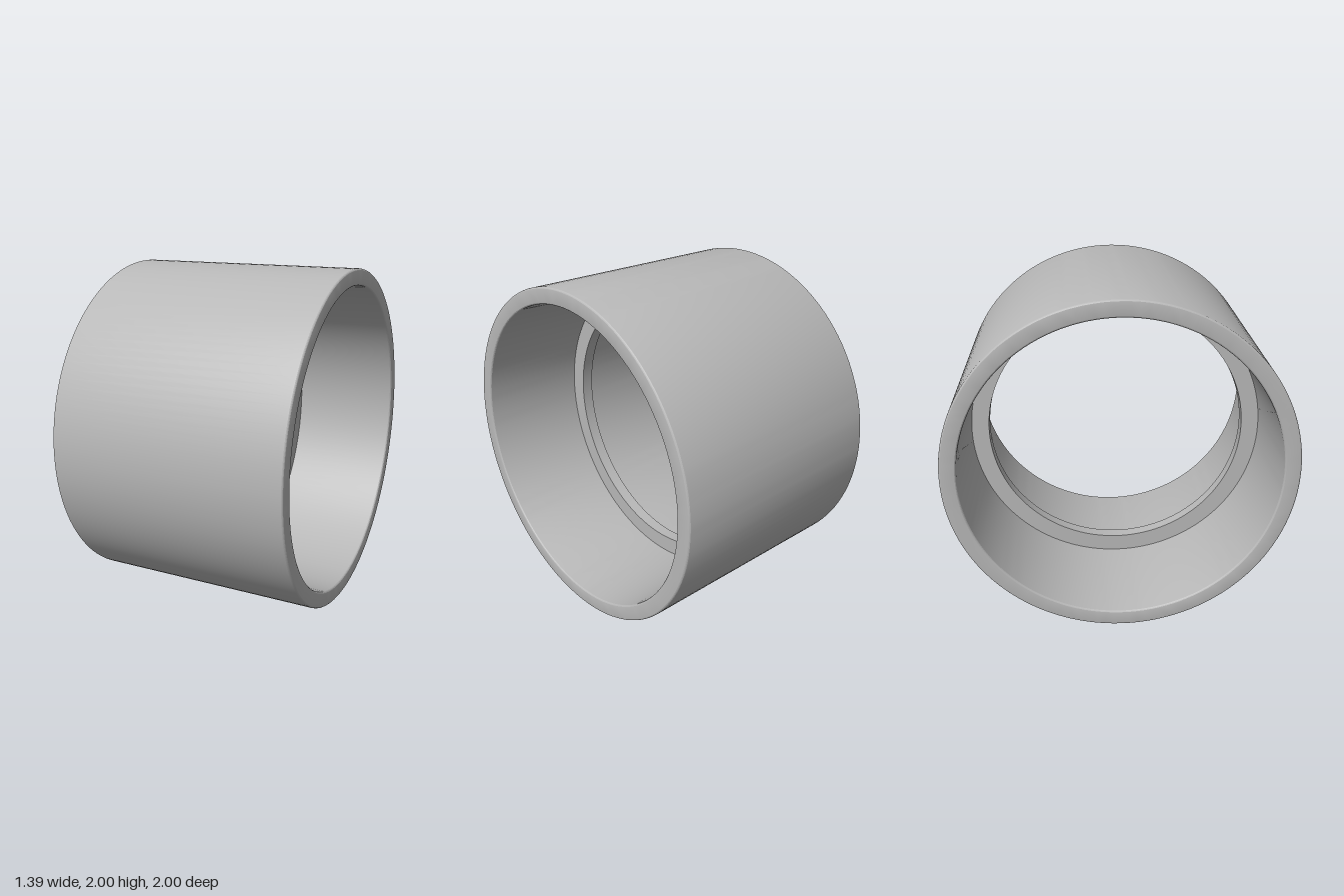
import * as THREE from 'three';
import { toCreasedNormals } from 'three/addons/utils/BufferGeometryUtils.js';

const HALF = 0.695;     // half length along x
const OUTER = 1;        // outside radius
const MOUTH = 0.904;    // socket radius at the open end
const ROOT = 0.896;     // socket radius at the stop ring (slight taper)
const STOP = 0.79;      // stop ring bore radius
const STOP_HALF = 0.037;
const FILLET = 0.014;

// Quarter-round points about (r, a), from angle start to end
function arc(r, a, radius, start, end, steps = 4) {
  return Array.from({ length: steps + 1 }, (_, i) => {
    const t = start + ((end - start) * i) / steps;
    return [r + radius * Math.cos(t), a + radius * Math.sin(t)];
  });
}

// Revolve a [radius, axial] profile around the x axis
function revolve(name, profile, material) {
  const points = profile.map(([r, a]) => new THREE.Vector2(r, a));
  const lathe = new THREE.LatheGeometry(points, 128);
  lathe.rotateZ(-Math.PI / 2);
  const mesh = new THREE.Mesh(toCreasedNormals(lathe, Math.PI / 10), material);
  mesh.name = name;
  return mesh;
}

export function createModel() {
  const grey = new THREE.MeshStandardMaterial({ color: 0xb8b8b8 });
  grey.name = 'plain grey';

  // One end of the sleeve: outer edge, end face, mouth edge, tapered socket
  const end = [
    ...arc(OUTER - FILLET, HALF - FILLET, FILLET, 0, Math.PI / 2),
    ...arc(MOUTH + FILLET, HALF - FILLET, FILLET, Math.PI / 2, Math.PI),
    [ROOT, STOP_HALF],
  ];
  const mirrored = end.map(([r, a]) => [r, -a]).reverse();

  const model = new THREE.Group();
  model.name = 'pipeCoupling';

  // Outer sleeve with a socket at both ends
  model.add(revolve('sleeve', [...mirrored, ...end], grey));

  // Raised ring in the middle that stops the pipes
  model.add(revolve('stopRing', [
    [ROOT, STOP_HALF],
    [STOP, STOP_HALF],
    [STOP, -STOP_HALF],
    [ROOT, -STOP_HALF],
  ], grey));

  model.position.y = OUTER;
  const group = new THREE.Group();
  group.name = 'model';
  group.add(model);
  return group;
}
